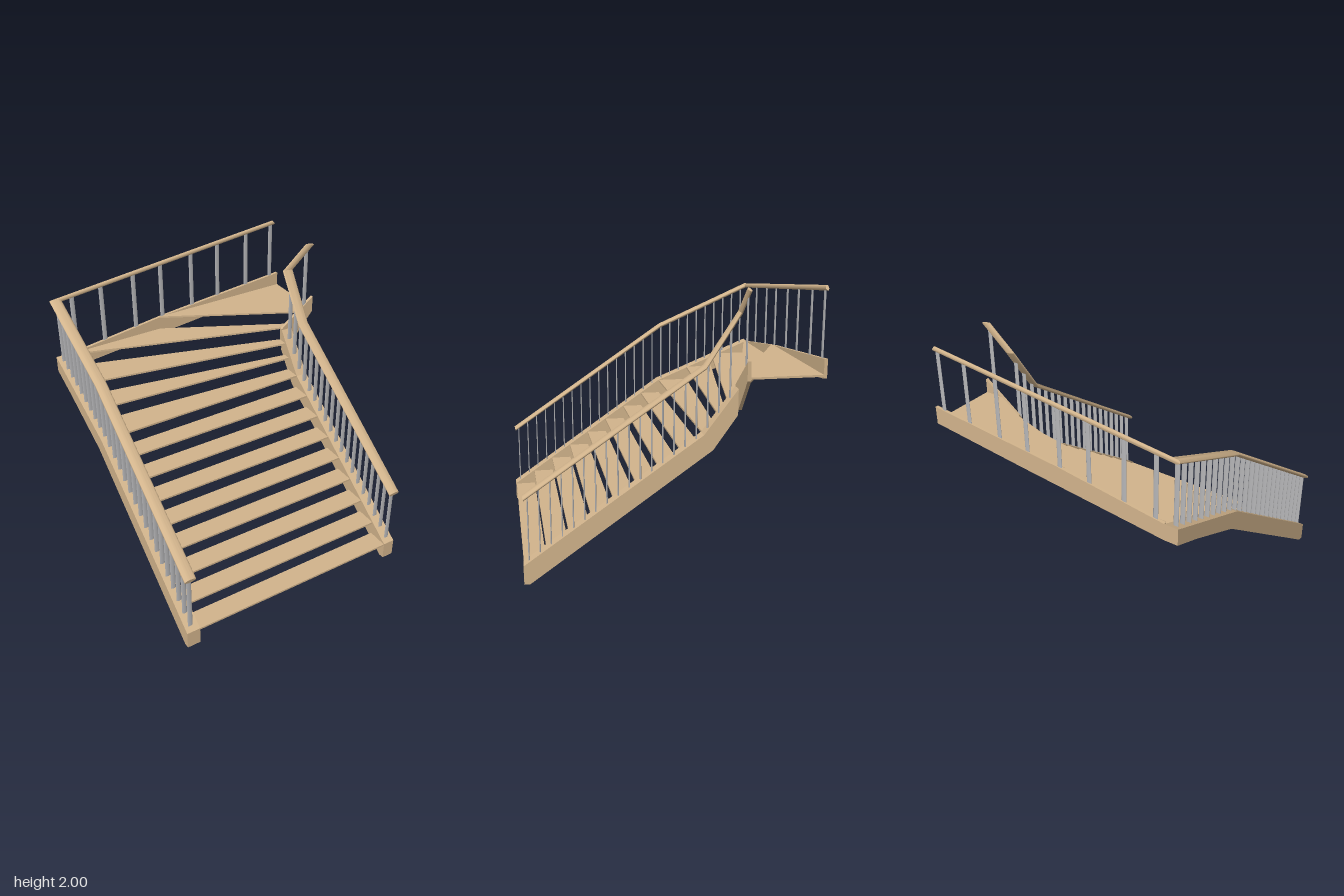
import * as THREE from 'three';
import { toCreasedNormals } from 'three/addons/utils/BufferGeometryUtils.js';

const wood = new THREE.MeshStandardMaterial({ color: 0xd2b48c });
wood.name = 'tan wood';
const steel = new THREE.MeshStandardMaterial({ color: 0xb6b6b8 });
steel.name = 'grey steel';

// Round parts are stretched: wide in x, thin in z
const STRETCH = new THREE.Vector3(4, 1.6, 1);

function add(group, name, geometry, material) {
  const mesh = new THREE.Mesh(geometry, material);
  mesh.name = name;
  group.add(mesh);
  return mesh;
}

function extrude(points, depth) {
  const shape = new THREE.Shape(points.map(([a, b]) => new THREE.Vector2(a, b)));
  return new THREE.ExtrudeGeometry(shape, { depth, bevelEnabled: false });
}

// Board with a (z, y) outline, running from x0 to x1
const sideBoard = (outline, x0, x1) =>
  extrude(outline.map(([z, y]) => [-z, y]), x1 - x0).rotateY(Math.PI / 2).translate(x0, 0, 0);

// Board with an (x, y) outline, running from z0 to z1
const crossBoard = (outline, z0, z1) => extrude(outline, z1 - z0).translate(0, 0, z0);

// Height of a polyline of [position, y] pairs at position t
function heightAt(line, t) {
  for (let i = 0; i < line.length - 1; i++) {
    const [a, ya] = line[i], [b, yb] = line[i + 1];
    if ((t - a) * (t - b) <= 0) return ya + (yb - ya) * (t - a) / (b - a);
  }
  return line[line.length - 1][1];
}

// Round bar along straight segments with mitred corners
function mitredRail(path, radius, sides = 16) {
  const pts = path.map(p => new THREE.Vector3(...p).divide(STRETCH));
  const dirs = pts.slice(1).map((p, i) => p.clone().sub(pts[i]).normalize());
  const u = new THREE.Vector3(1, 0, 0);
  const v = dirs[0].clone().cross(u).normalize();
  let ring = [];
  for (let j = 0; j < sides; j++) {
    const a = j / sides * Math.PI * 2;
    ring.push(pts[0].clone().addScaledVector(u, radius * Math.cos(a)).addScaledVector(v, radius * Math.sin(a)));
  }
  const rings = [ring];
  for (let i = 1; i < pts.length; i++) {
    const d = dirs[i - 1];
    const n = d.clone().add(dirs[i] || d).normalize();
    ring = ring.map(p => p.clone().addScaledVector(d, pts[i].clone().sub(p).dot(n) / d.dot(n)));
    rings.push(ring);
  }
  const pos = [];
  const tri = (...ps) => ps.forEach(p => pos.push(p.x, p.y, p.z));
  const last = rings.length - 1;
  for (let j = 0; j < sides; j++) {
    const k = (j + 1) % sides;
    for (let i = 0; i < last; i++) {
      tri(rings[i][j], rings[i][k], rings[i + 1][j]);
      tri(rings[i][k], rings[i + 1][k], rings[i + 1][j]);
    }
    tri(pts[0], rings[0][k], rings[0][j]);
    tri(pts[last], rings[last][j], rings[last][k]);
  }
  const geo = new THREE.BufferGeometry();
  geo.setAttribute('position', new THREE.Float32BufferAttribute(pos, 3));
  return toCreasedNormals(geo, 0.6).scale(STRETCH.x, STRETCH.y, STRETCH.z);
}

export function createModel() {
  const model = new THREE.Group();
  model.name = 'winderStaircase';

  // Stringers: upper edges also carry the balusters
  const leftTop = [[1, 0.135], [-0.23, 0.99], [-1, 1.307]];
  const rightTop = [[1, 0.135], [-0.23, 0.99], [-0.463, 1.3]];
  const backTop = [[-1, 1.307], [-0.9, 1.307], [-0.08, 1.42], [1, 1.527]];
  const returnTop = [[0.71, 1.31], [1, 1.527]];
  add(model, 'leftStringer', sideBoard(
    [...leftTop, [-1, 1.185], [-0.76, 1.09], [-0.295, 0.882], [0.96, 0], [1, 0]], -1, -0.9), wood);
  add(model, 'rightStringer', sideBoard(
    [...rightTop, [-0.463, 1.12], [-0.295, 0.882], [0.96, 0], [1, 0]], 0.71, 0.8), wood);
  add(model, 'backStringer', crossBoard(
    [...backTop.slice(1), [1, 1.395], [0.22, 1.305], [-0.9, 1.185]], -1, -0.977), wood);
  add(model, 'returnStringer', crossBoard(
    [...returnTop, [1, 1.395], [0.8, 1.155], [0.71, 1.15]], -0.487, -0.463), wood);

  // Treads: front edge of each as [left x, left z, right x, right z]
  const xl = -0.9, xr = 0.71;
  const edges = [];
  for (let i = 0; i < 9; i++) edges.push([xl, 0.996 - i * 0.154, xr, 0.996 - i * 0.154]);
  edges.push([xl, -0.475, xr, -0.355], [xl, -0.69, xr, -0.41], [xl, -0.977, xr, -0.487],
    [-0.12, -0.977, 0.85, -0.487], [1, -0.977, 1, -0.487]);
  const treads = new THREE.Group();
  treads.name = 'treads';
  model.add(treads);
  for (let i = 0; i < 13; i++) {
    const [ax, az, bx, bz] = edges[i], [cx, cz, dx, dz] = edges[i + 1];
    const outline = [[ax, az], [bx, bz], [dx, dz], [cx, cz]];
    const geo = extrude(outline.map(([x, z]) => [x, -z]), 0.014).rotateX(-Math.PI / 2);
    add(treads, 'tread', geo, wood).position.y = 0.117 + i * 0.1075;
  }

  // Handrails
  const leftRail = [[0.99, 0.605], [-0.25, 1.45], [-0.989, 1.775]];
  const rightRail = [[0.99, 0.605], [-0.24, 1.45], [-0.475, 1.81]];
  const backEnd = [0.957, 1.982], lx = -0.955, rx = 0.755;
  add(model, 'leftHandrail', mitredRail(
    [...leftRail.map(([z, y]) => [lx, y, z]), [...backEnd, -0.989]], 0.011), wood);
  add(model, 'rightHandrail', mitredRail(
    [...rightRail.map(([z, y]) => [rx, y, z]), [...backEnd, -0.475]], 0.011), wood);

  // Balusters
  const balusters = new THREE.Group();
  balusters.name = 'balusters';
  model.add(balusters);
  const baluster = (x, z, y0, y1) => {
    const geo = new THREE.CylinderGeometry(0.0046, 0.0046, 1, 12).scale(STRETCH.x, y1 - y0, STRETCH.z);
    add(balusters, 'baluster', geo, steel).position.set(x, (y0 + y1) / 2, z);
  };
  for (let i = 0; i < 26; i++) {
    const z = 0.961 - i * 0.0765;
    baluster(lx, z, heightAt(leftTop, z) - 0.008, heightAt(leftRail, z));
    if (i < 19) baluster(rx, z, heightAt(rightTop, z) - 0.008, heightAt(rightRail, z));
  }
  const backRail = [[lx, 1.775], backEnd];
  for (const x of [-0.83, -0.595, -0.325, -0.09, 0.18, 0.42, 0.69, 0.925])
    baluster(x, -0.988, heightAt(backTop, x) - 0.008, heightAt(backRail, x));
  baluster(0.925, -0.475, heightAt(returnTop, 0.925) - 0.008, heightAt([[rx, 1.81], backEnd], 0.925));

  return model;
}
